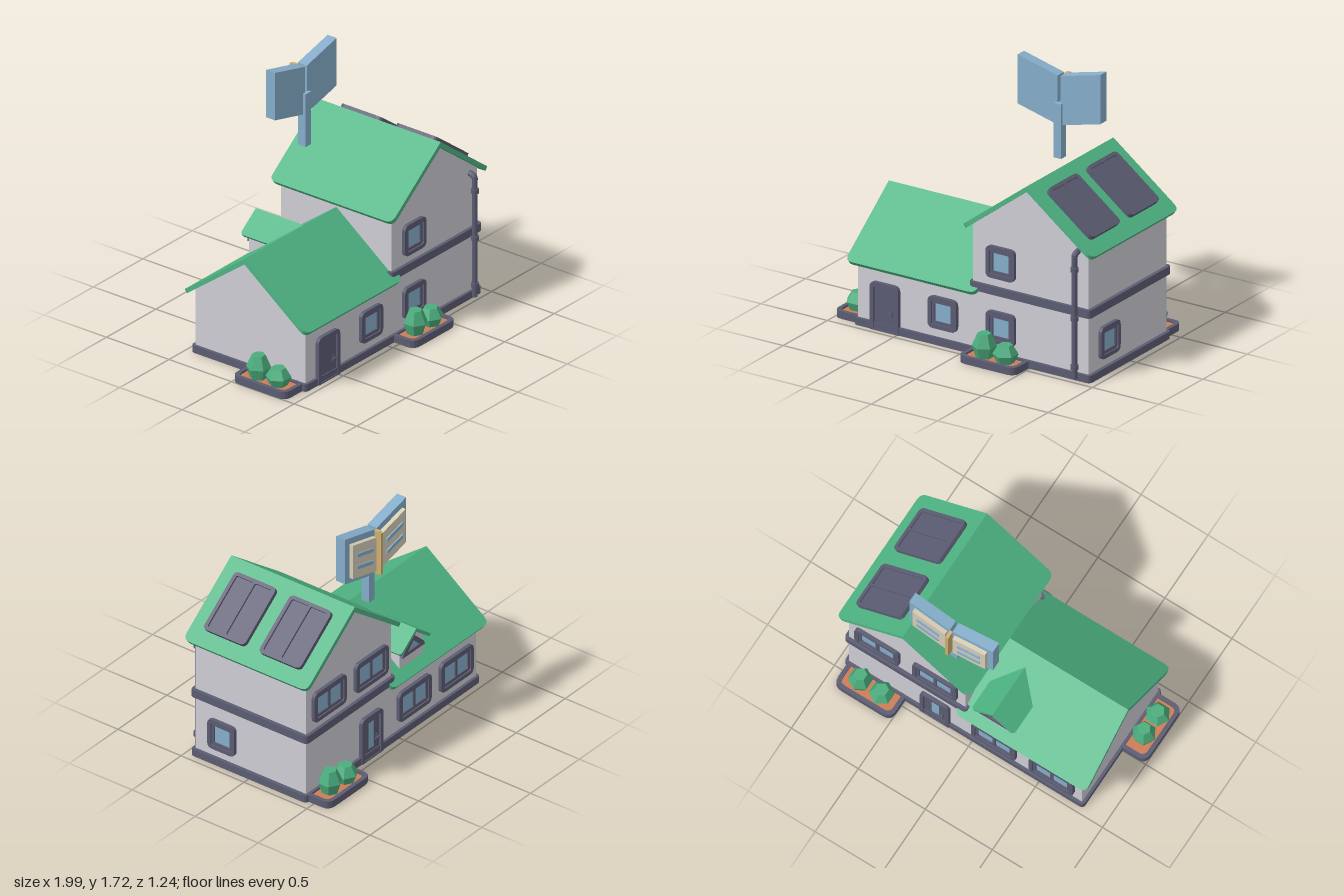
import * as THREE from 'three';

const mat = (name, color) => Object.assign(new THREE.MeshStandardMaterial({ color }), { name });

export function createModel() {
  const wallMat = mat('wall', 0xcfced6), slate = mat('slate', 0x5c5c73), green = mat('green', 0x4fb584);
  const blue = mat('blue', 0x86aecb), soilMat = mat('soil', 0xcb7c54);
  const paper = mat('paper', 0xd8cfb8), gold = mat('gold', 0xcfb070);
  const leaf = mat('leaf', 0x4bad7e);
  leaf.flatShading = true;

  const model = new THREE.Group();
  model.name = 'house';
  const PITCH = 0.755, ANGLE = Math.atan(PITCH);

  // ---- helpers ----
  const group = (name, parent = model, x = 0, y = 0, z = 0, ry = 0) => {
    const g = new THREE.Group();
    g.name = name;
    g.position.set(x, y, z);
    g.rotation.y = ry;
    parent.add(g);
    return g;
  };
  const add = (name, geo, material, parent = model, x = 0, y = 0, z = 0) => {
    const m = new THREE.Mesh(geo, material);
    m.name = name;
    m.position.set(x, y, z);
    parent.add(m);
    return m;
  };
  const box = (w, h, d) => new THREE.BoxGeometry(w, h, d);
  const extrude = (shape, depth) =>
    new THREE.ExtrudeGeometry(shape, { depth, bevelEnabled: false, curveSegments: 4 });
  const poly = (pts) => new THREE.Shape(pts.map(([x, y]) => new THREE.Vector2(x, y)));
  // rectangle with separate radii for the bottom and top corners
  const rounded = (x0, x1, y0, y1, rb, rt = rb) => {
    const s = new THREE.Shape();
    s.moveTo(x0 + rb, y0).lineTo(x1 - rb, y0);
    if (rb) s.quadraticCurveTo(x1, y0, x1, y0 + rb);
    s.lineTo(x1, y1 - rt);
    if (rt) s.quadraticCurveTo(x1, y1, x1 - rt, y1);
    s.lineTo(x0 + rt, y1);
    if (rt) s.quadraticCurveTo(x0, y1, x0, y1 - rt);
    s.lineTo(x0, y0 + rb);
    if (rb) s.quadraticCurveTo(x0, y0, x0 + rb, y0);
    return s;
  };
  const withHoles = (shape, ...holes) => { shape.holes.push(...holes); return shape; };
  // flat horizontal slab from a shape whose y points to -z
  const flat = (shape, h) => extrude(shape, h).rotateX(-Math.PI / 2);

  // gabled wall block, centred on its own axis, running along z
  const gable = (half, apex, base, len) => {
    const e = apex - half * PITCH;
    return extrude(poly([[-half, base], [half, base], [half, e], [0, apex], [-half, e]]), len)
      .translate(0, 0, -len / 2);
  };
  // two roof slabs, ridge along local x
  const roof = (name, x, y, z, len, slope, t, r, ry) => {
    const g = group(name, model, x, y, z, ry);
    for (const side of [0, Math.PI]) {
      const half = group('roofSide', g, 0, 0, 0, side);
      const geo = extrude(rounded(-len / 2, len / 2, -slope, 0, r, 0), t).translate(0, 0, -t);
      add('roofSlab', geo, green, half).rotation.x = ANGLE - Math.PI / 2;
    }
    return g;
  };

  // ---- base, walls, floor band ----
  add('base', flat(rounded(-0.83, 0.955, -0.46, 0.46, 0.03), 0.05), slate);
  add('tallWalls', gable(0.435, 1.222, 0.04, 0.88), wallMat, model, 0.495, 0, 0);
  add('lowWalls', gable(0.44, 0.788, 0.04, 0.9).rotateY(Math.PI / 2), wallMat, model, -0.36, 0, 0);
  add('floorBand', flat(rounded(0.04, 0.955, -0.463, 0.463, 0.03), 0.055), slate, model, 0, 0.438, 0);

  // ---- roofs ----
  roof('lowRoof', -0.38, 0.81, 0, 0.98, 0.622, 0.03, 0.05, 0);
  const tallRoof = roof('tallRoof', 0.497, 1.245, 0, 0.98, 0.622, 0.03, 0.05, Math.PI / 2);

  // ---- solar panels on the right slope ----
  for (const x of [-0.223, 0.218]) {
    const p = group('solarPanel', tallRoof.children[0]);
    p.rotation.x = ANGLE - Math.PI / 2;
    p.position.x = x;
    const frame = withHoles(rounded(-0.165, 0.165, -0.515, -0.09, 0.035),
      rounded(-0.14, -0.007, -0.49, -0.115, 0.012), rounded(0.007, 0.14, -0.49, -0.115, 0.012));
    add('panelFrame', extrude(frame, 0.03), slate, p);
    add('panelCells', box(0.3, 0.39, 0.016), slate, p, 0, -0.3025, 0.008);
  }

  // ---- dormer on the back slope ----
  roof('dormerRoof', -0.16, 0.742, -0.28, 0.38, 0.2, 0.02, 0.025, Math.PI / 2);
  add('dormerWalls', gable(0.12, 0.727, 0.44, 0.25), wallMat, model, -0.16, 0, -0.305);
  const dw = group('dormerWindow', model, -0.16, 0.565, -0.43, Math.PI);
  const tri = (k) => poly([[-0.115 * k, 0], [0.115 * k, 0], [0.1 * k, 0.03 * k], [0, 0.125 * k], [-0.1 * k, 0.03 * k]]);
  const inner = poly([[-0.065, 0.022], [0.065, 0.022], [0, 0.085]]);
  add('dormerFrame', extrude(withHoles(tri(1), inner), 0.02), slate, dw);
  add('dormerGlass', extrude(inner, 0.006), blue, dw);

  // ---- windows, facing local +z from the wall ----
  const win = (x, y, z, ry, w = 0.216, panes = 1) => {
    const g = group('window', model, x, y, z, ry);
    const a = w / 2, b = 0.108;
    add('outerFrame', extrude(withHoles(rounded(-a, a, -b, b, 0.04),
      rounded(-a + 0.027, a - 0.027, -b + 0.027, b - 0.027, 0.015)), 0.025), slate, g);
    const ia = a - 0.025, ib = b - 0.025, f = 0.022;
    const pw = (2 * ia - f * (panes + 1)) / panes;
    const sash = rounded(-ia, ia, -ib, ib, 0);
    for (let i = 0; i < panes; i++) {
      const x0 = -ia + f + i * (pw + f);
      sash.holes.push(rounded(x0, x0 + pw, -ib + f, ib - f, 0.008));
    }
    add('sash', extrude(sash, 0.015), slate, g);
    add('glass', box(2 * ia - 0.01, 2 * ib - 0.01, 0.006), blue, g, 0, 0, 0.003);
  };
  win(0.277, 0.66, 0.44, 0);
  win(0.277, 0.22, 0.44, 0);
  win(-0.16, 0.22, 0.44, 0);
  win(0.93, 0.22, 0.22, Math.PI / 2);
  for (const [x, y] of [[0.71, 0.66], [0.28, 0.66], [-0.16, 0.22], [-0.59, 0.22]])
    win(x, y, -0.44, Math.PI, 0.33, 2);

  // ---- doors ----
  const door = (name, x, z, ry, glazed) => {
    const g = group(name, model, x, 0, z, ry);
    add('doorFrame', extrude(withHoles(rounded(-0.108, 0.108, 0, 0.325, 0, 0.04),
      rounded(-0.08, 0.08, 0.01, 0.298, 0, 0.015)), 0.026), slate, g);
    const leafShape = rounded(-0.082, 0.082, 0.005, 0.3, 0);
    if (glazed) {
      leafShape.holes.push(rounded(-0.03, 0.03, 0.07, 0.265, 0.008));
      add('doorGlass', box(0.07, 0.21, 0.006), blue, g, 0, 0.167, 0.004);
    }
    add('doorLeaf', extrude(leafShape, 0.013), slate, g);
    add('handlePlate', box(0.018, 0.045, 0.008), slate, g, 0.053, 0.128, 0.016);
    add('handleLever', box(0.04, 0.01, 0.01), slate, g, 0.041, 0.133, 0.03);
    add('handleStem', box(0.01, 0.01, 0.02), slate, g, 0.053, 0.133, 0.02);
  };
  door('frontDoor', -0.597, 0.44, 0, false);
  door('backDoor', 0.28, -0.44, Math.PI, true);

  // ---- planters with faceted bushes ----
  const planter = (x, z, ry) => {
    const g = group('planter', model, x, 0, z, ry);
    // local shape y is -z, so the outward side is the bottom
    add('planterRim', flat(withHoles(rounded(-0.215, 0.215, -0.185, 0.03, 0.06, 0),
      rounded(-0.187, 0.187, -0.157, 0.02, 0.04, 0)), 0.05), slate, g);
    add('planterFloor', flat(rounded(-0.21, 0.21, -0.18, 0.025, 0.06, 0), 0.01), slate, g);
    add('soil', flat(rounded(-0.19, 0.19, -0.16, 0.02, 0.04, 0), 0.028), soilMat, g, 0, 0.008, 0);
    for (const [bx, h, r] of [[-0.077, 0.162, 0.08], [0.082, 0.12, 0.083]]) {
      const profile = [[0, 0], [0.7, 0], [1, 0.48], [0.55, 1], [0, 1]]
        .map(([a, b]) => new THREE.Vector2(a * r, b * h));
      add('bush', new THREE.LatheGeometry(profile, 6), leaf, g, bx, 0.034, 0.085);
    }
  };
  planter(0.277, 0.437, 0);
  planter(0.715, -0.437, Math.PI);
  planter(-0.815, 0.215, -Math.PI / 2);

  // ---- downpipe ----
  const pipe = group('downpipe', model, 0.853, 0, 0.482);
  add('pipe', new THREE.CylinderGeometry(0.018, 0.018, 0.84, 12), slate, pipe, 0, 0.44, 0);
  for (const y of [0.1, 0.43, 0.76])
    add('pipeJoint', new THREE.CylinderGeometry(0.026, 0.026, 0.03, 12), slate, pipe, 0, y, 0);
  const bend = new THREE.QuadraticBezierCurve3(new THREE.Vector3(0, 0.84, 0),
    new THREE.Vector3(0, 0.872, 0), new THREE.Vector3(0, 0.872, -0.06));
  add('pipeElbow', new THREE.TubeGeometry(bend, 6, 0.02, 12), slate, pipe);

  // ---- open book sign above the roof ----
  const sign = group('bookSign', model, 0.185, 0, 0);
  add('signPost', box(0.056, 0.37, 0.06), blue, sign, 0, 1.275, -0.352);
  add('bookmark', box(0.022, 0.31, 0.02), gold, sign, 0, 1.475, -0.455);
  add('bookSpine', box(0.022, 0.32, 0.04), gold, sign, 0, 1.475, -0.43);
  const lean = 0.075 / 0.3;
  const sheet = (s, x0, x1, yc, h, d) => {
    const y = (x) => yc + (x - 0.01) * lean;
    return extrude(poly([[s * x0, y(x0) - h / 2], [s * x1, y(x1) - h / 2],
      [s * x1, y(x1) + h / 2], [s * x0, y(x0) + h / 2]]), d);
  };
  for (const s of [-1, 1]) {
    add('cover', sheet(s, 0.01, 0.312, 1.475, 0.333, 0.072), blue, sign, 0, 0, -0.414);
    add('page', sheet(s, 0.028, 0.27, 1.472, 0.25, 0.03), paper, sign, 0, 0, -0.443);
    for (const dy of [-0.045, 0.045])
      add('pageLine', sheet(s, 0.07, 0.235, 1.472 + dy, 0.026, 0.012), blue, sign, 0, 0, -0.452);
  }
  return model;
}
